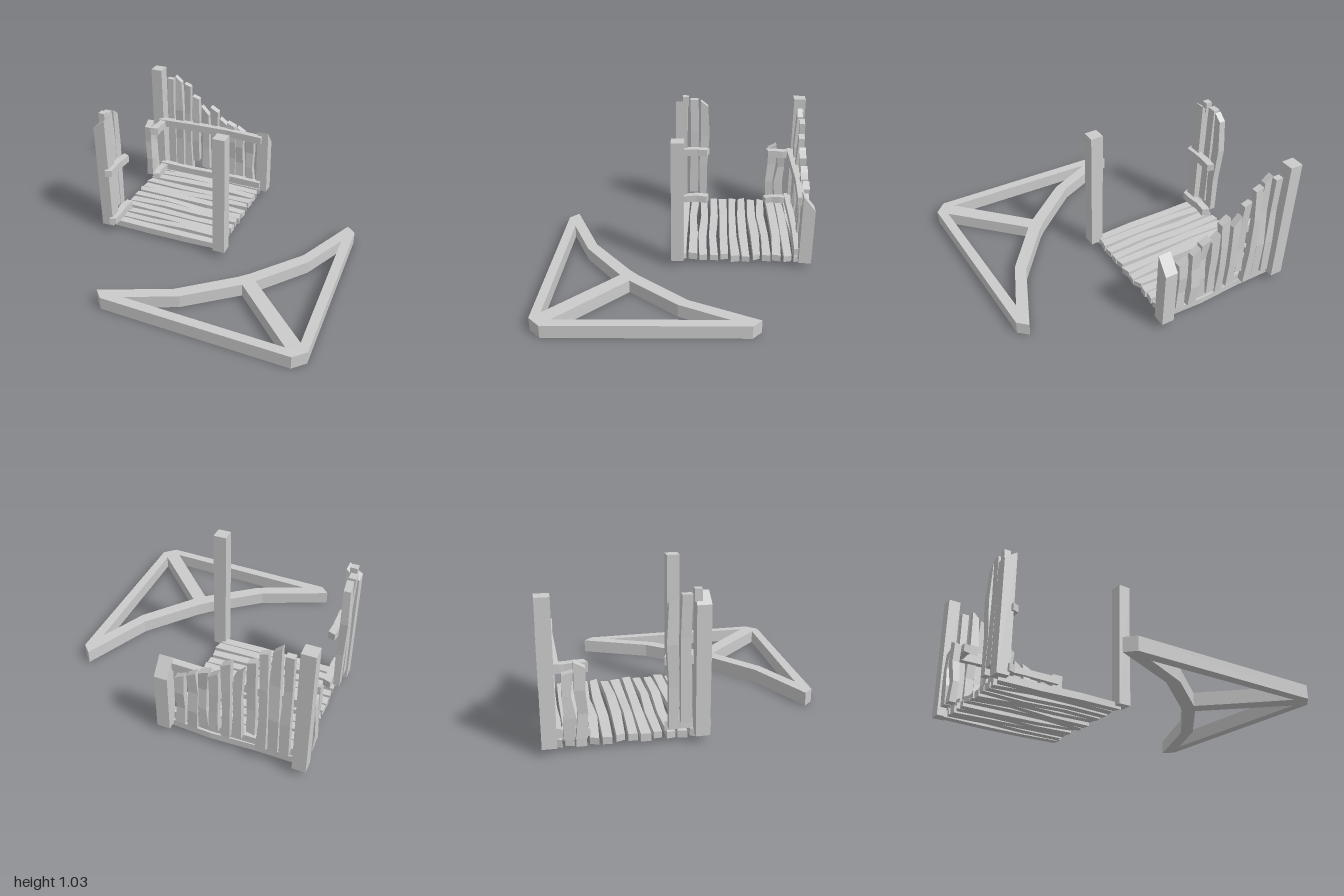
import * as THREE from 'three';

const material = new THREE.MeshStandardMaterial({ color: 0xcccccc, flatShading: true });

// Small seeded generator, returns -1..1
let seed = 7;
const rnd = () => {
  seed = (seed * 16807) % 2147483647;
  return (seed / 2147483647) * 2 - 1;
};

// Rough board standing along y: middle rings wander, ends are cut at a slant
function board(width, length, depth, { cutTop = 0, cutBottom = 0, wobble = 0.008, swell = 0.12 } = {}) {
  const g = new THREE.BoxGeometry(width, length, depth, 1, 3, 1);
  const rings = [0, 1, 2, 3].map((i) => {
    const mid = i === 1 || i === 2 ? 1 : 0.35;
    return { dx: rnd() * wobble * mid, dz: rnd() * wobble * mid, s: 1 + rnd() * swell };
  });
  const p = g.attributes.position;
  for (let i = 0; i < p.count; i++) {
    const k = Math.round((p.getY(i) / length + 0.5) * 3);
    const r = rings[k];
    const cut = k === 3 ? cutTop : k === 0 ? cutBottom : 0;
    p.setY(i, p.getY(i) - (p.getX(i) / width) * cut);
    p.setX(i, p.getX(i) * r.s + r.dx);
    p.setZ(i, p.getZ(i) * r.s + r.dz);
  }
  return g;
}

export function createModel() {
  const model = new THREE.Group();
  const add = (parent, name, geometry, x = 0, y = 0, z = 0) => {
    geometry.computeVertexNormals();
    const mesh = new THREE.Mesh(geometry, material);
    mesh.name = name;
    mesh.position.set(x, y, z);
    parent.add(mesh);
    return mesh;
  };
  const group = (name) => {
    const g = new THREE.Group();
    g.name = name;
    model.add(g);
    return g;
  };

  // Flat braced frame, drawn in plan as (x, -z) and raised to y = 0.1
  const plan = (pts) => pts.map(([x, z]) => new THREE.Vector2(x, -z));
  const outline = new THREE.Shape(plan([
    [-0.575, 0.89], [-0.51, 0.96], [0.915, 1], [1, 0.915], [0.96, -0.51], [0.89, -0.575],
    [0.67, -0.07], [0.37, 0.30], [0.30, 0.37], [-0.07, 0.67],
  ]));
  const hole = [[-0.36, 0.89], [0, 0.73], [0.365, 0.44], [0.85, 0.93]];
  outline.holes.push(new THREE.Path(plan(hole)));
  outline.holes.push(new THREE.Path(plan(hole.map(([x, z]) => [z, x]))));
  const frame = new THREE.ExtrudeGeometry(outline, { depth: 0.1, bevelEnabled: false });
  add(model, 'bracedFrame', frame.rotateX(-Math.PI / 2));

  // Corner posts, two of them broken off at a slant
  const posts = group('posts');
  const post = (name, x, z, topAt) => {
    const g = new THREE.BoxGeometry(0.096, 1, 0.096);
    const p = g.attributes.position;
    for (let i = 0; i < p.count; i++) {
      p.setY(i, p.getY(i) > 0 ? topAt(Math.sign(p.getX(i)), Math.sign(p.getZ(i))) : 0.05);
    }
    add(posts, name, g, x, 0, z);
  };
  post('frontRightPost', 0.028, 0.028, () => 1.03);
  post('backLeftPost', -0.952, -0.952, () => 1.03);
  post('backRightPost', 0.028, -0.952, (sx, sz) => 0.56 + sz * 0.06);
  post('frontLeftPost', -0.952, 0.028, (sx) => 0.965 + sx * 0.035);
  add(posts, 'postSplinter', new THREE.BoxGeometry(0.05, 0.08, 0.05), -0.955, 0.99, -0.005);

  // Floor planks, long axis turned to x
  const floor = group('floor');
  const alongX = new THREE.Matrix4().makeBasis(
    new THREE.Vector3(0, 0, 1), new THREE.Vector3(1, 0, 0), new THREE.Vector3(0, 1, 0));
  for (let i = 0; i < 12; i++) {
    const g = board(0.062, 0.96, 0.05, {
      cutTop: rnd() * 0.03, cutBottom: rnd() * 0.03, wobble: 0.013, swell: 0.12,
    });
    const plank = add(floor, 'floorPlank', g.applyMatrix4(alongX), -0.465, 0.052, -0.01 - i * 0.0815);
    plank.rotation.z = rnd() * 0.018;
  }

  // Back wall slats, stepping down to the right: [x, bottom, top, slope of top]
  const backWall = group('backWall');
  [
    [-0.835, 0.12, 0.955, 0], [-0.755, 0.12, 0.97, 0.05], [-0.675, 0.1, 0.925, 0.02],
    [-0.595, 0.21, 0.825, 0.02], [-0.512, 0.15, 0.715, 0.07], [-0.425, 0.11, 0.745, 0.04],
    [-0.342, 0.15, 0.64, 0.05], [-0.265, 0.15, 0.63, 0.03], [-0.185, 0.11, 0.59, 0.04],
    [-0.09, 0.11, 0.53, 0.04],
  ].forEach(([x, y0, y1, cutTop], i) => {
    const g = board(0.064, y1 - y0, 0.05, { cutTop, cutBottom: rnd() * 0.02, wobble: 0.012, swell: 0.15 });
    add(backWall, 'backSlat', g, x, (y0 + y1) / 2, -0.955 + (i % 2) * 0.012);
  });
  for (const y of [0.55, 0.115]) {
    const g = board(0.06, 0.95, 0.05, { wobble: 0.012, swell: 0.08 }).rotateZ(-Math.PI / 2);
    add(backWall, 'backRail', g, -0.455, y, -0.897);
  }

  // Left wall, broken open in the middle: [z, bottom, top, slope of top]
  const leftWall = group('leftWall');
  [
    [-0.08, 0.15, 1.0, 0], [-0.165, 0.11, 0.97, 0.05],
    [-0.745, 0.1, 0.59, -0.04], [-0.825, 0.1, 0.54, 0.02],
  ].forEach(([z, y0, y1, cutTop]) => {
    const g = board(0.065, y1 - y0, 0.05, { cutTop, wobble: 0.012, swell: 0.15 });
    add(leftWall, 'leftSlat', g.rotateY(Math.PI / 2), -0.965, (y0 + y1) / 2, z);
  });
  for (const y of [0.55, 0.105]) {
    for (const [z0, z1] of [[-0.2, 0.09], [-0.9, -0.7]]) {
      const g = board(0.055, z1 - z0, 0.06, { cutTop: 0.02, cutBottom: -0.02, wobble: 0.008, swell: 0.1 });
      add(leftWall, 'leftRail', g.rotateX(Math.PI / 2), -0.895, y, (z0 + z1) / 2);
    }
  }
  return model;
}
